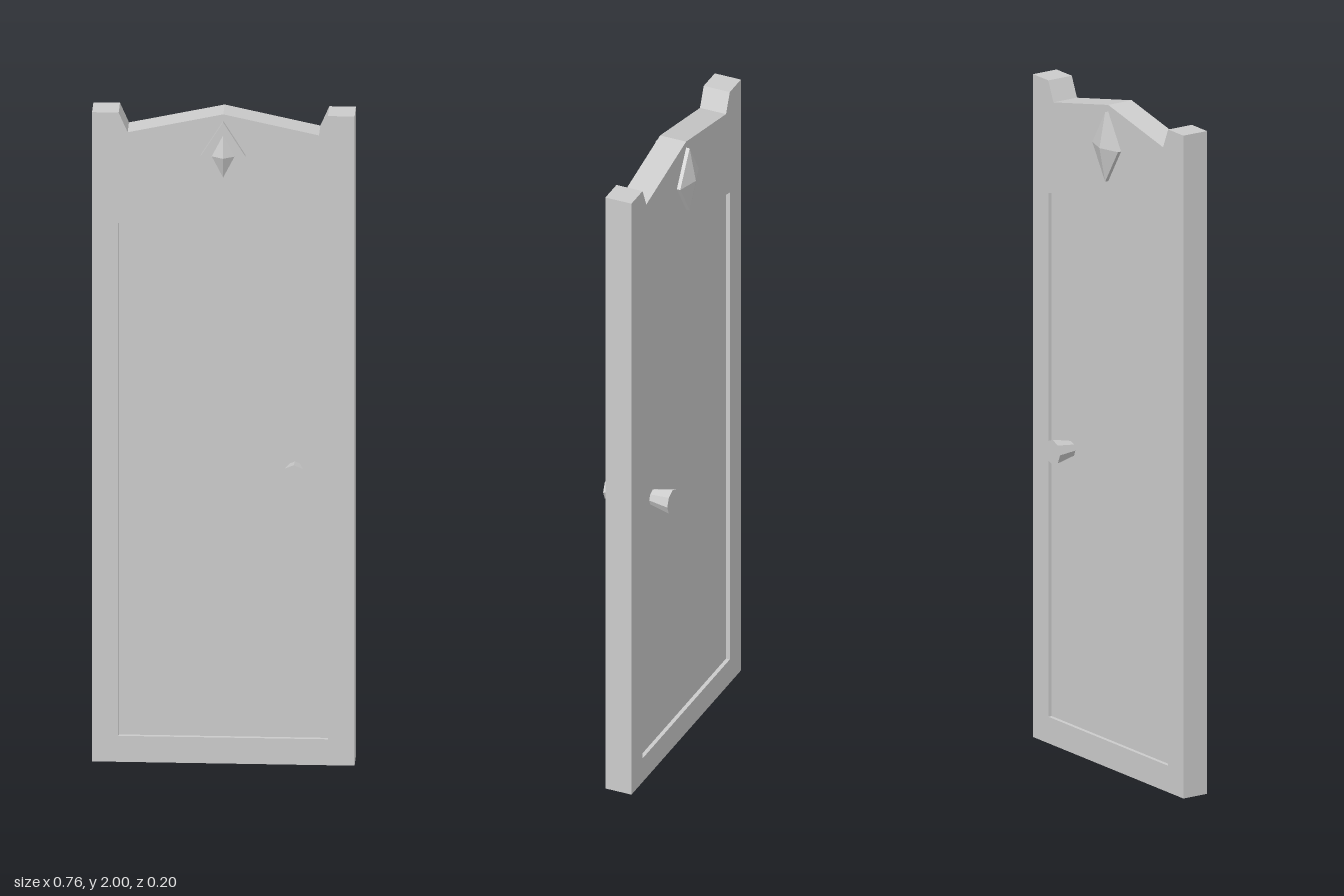
import * as THREE from 'three';

const BACK = -0.05, FRONT = 0.033, RECESS = 0.012;

export function createModel() {
  const group = new THREE.Group();
  const material = new THREE.MeshStandardMaterial({ color: 0xcccccc, flatShading: true });

  function add(name, geometry, parent = group) {
    const mesh = new THREE.Mesh(geometry, material);
    mesh.name = name;
    parent.add(mesh);
    return mesh;
  }
  const points = (list) => list.map(([x, y]) => new THREE.Vector2(x, y));
  const slab = (shape, z0, z1) =>
    new THREE.ExtrudeGeometry(shape, { depth: z1 - z0, bevelEnabled: false }).translate(0, 0, z0);

  // Frame with corner posts, a gabled top edge and a gabled opening
  const opening = points([[-0.303, 0.08], [-0.303, 1.66], [0, 1.74], [0.303, 1.66], [0.303, 0.08]]);
  const outline = new THREE.Shape(points([
    [-0.38, 0], [0.38, 0], [0.38, 2], [0.303, 2], [0.277, 1.94],
    [0, 2], [-0.277, 1.94], [-0.303, 2], [-0.38, 2],
  ]));
  outline.holes.push(new THREE.Path(opening));
  add('frame', slab(outline, BACK, FRONT));

  // Panel set back from both faces of the frame
  add('panel', slab(new THREE.Shape(opening), BACK + RECESS, FRONT - RECESS));

  // Diamond ornaments: a lozenge plate carrying a four-sided point
  function addDiamond(name, plateDepth, pointWidth, pointHeight) {
    const W = 0.065, H = 0.105;
    const diamond = new THREE.Group();
    diamond.name = name;
    const plate = new THREE.Shape(points([[W, 0], [0, H], [-W, 0], [0, -H]]));
    add('diamondPlate', slab(plate, -0.01, plateDepth), diamond);
    const point = new THREE.ConeGeometry(1, 0.02, 4, 1, true)
      .rotateX(Math.PI / 2)
      .scale(pointWidth, pointHeight, 1)
      .translate(0, 0, plateDepth + 0.01);
    add('diamondPoint', point, diamond);
    diamond.position.y = 1.875;
    group.add(diamond);
    return diamond;
  }
  addDiamond('frontDiamond', 0.013, 0.033, 0.065).position.z = FRONT;
  const backDiamond = addDiamond('backDiamond', 0.011, 0.065, 0.105);
  backDiamond.position.z = BACK;
  backDiamond.rotation.y = Math.PI;

  // Flared eight-sided knobs on both faces
  for (const side of [1, -1]) {
    const knob = add(side > 0 ? 'frontKnob' : 'backKnob', new THREE.CylinderGeometry(0.038, 0.018, 0.09, 8));
    knob.rotation.x = side * Math.PI / 2;
    knob.position.set(0.207, 0.91, side * 0.057);
  }

  return group;
}
